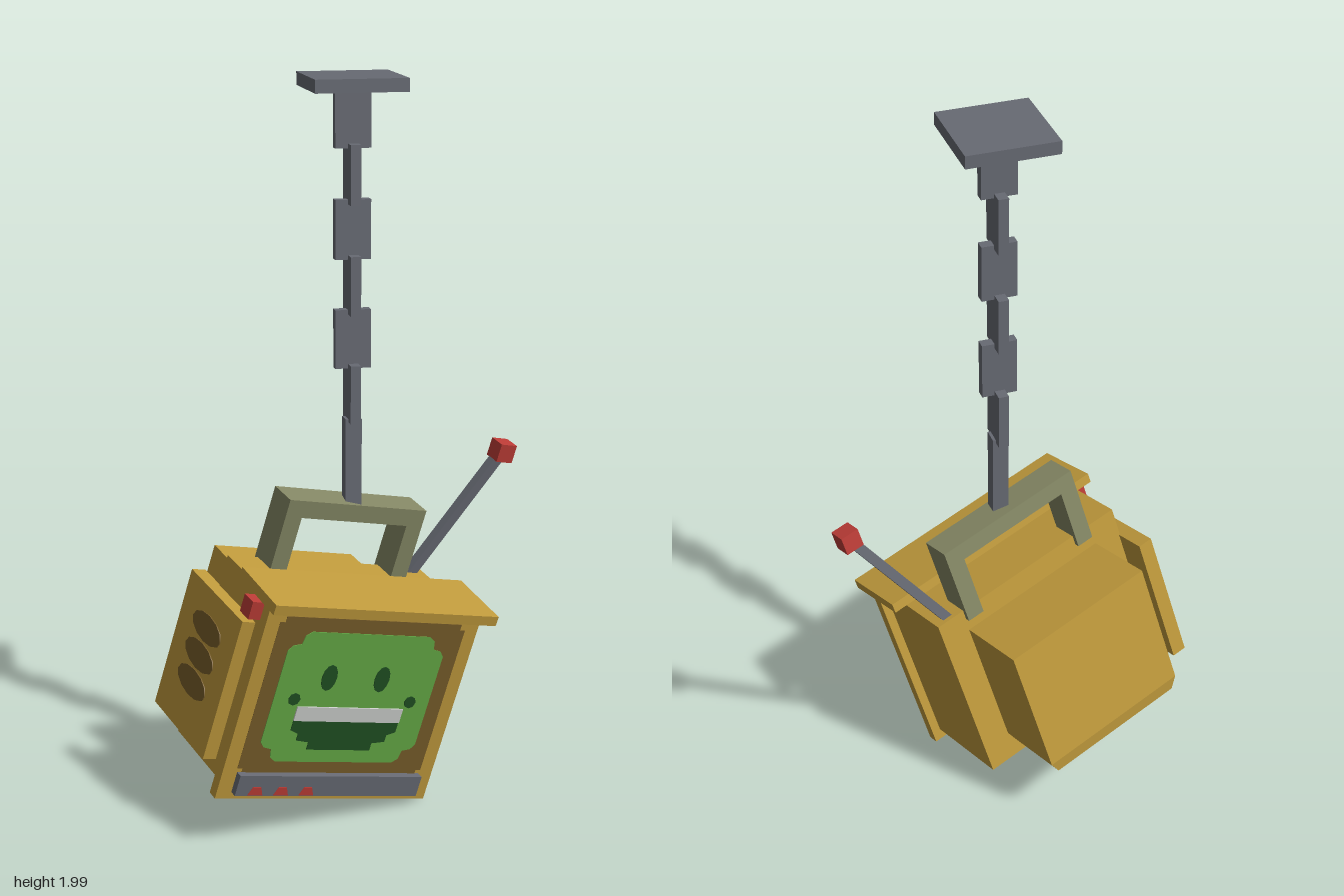
import * as THREE from 'three';

const mat = (name, color) => {
  const m = new THREE.MeshStandardMaterial({ color });
  m.name = name;
  return m;
};

export function createModel() {
  const gold = mat('gold', 0xc09a3c);
  const brown = mat('brown', 0x785d2a);
  const grey = mat('grey', 0x676a73);
  const olive = mat('olive', 0x858865);
  const red = mat('red', 0xbc3c36);
  const green = mat('screenGreen', 0x65aa45);
  const darkGreen = mat('darkGreen', 0x205022);
  const white = mat('paleGrey', 0xcdcfcc);

  const model = new THREE.Group();
  model.name = 'hangingTelevision';

  const add = (parent, name, geometry, material) => {
    const mesh = new THREE.Mesh(geometry, material);
    mesh.name = name;
    parent.add(mesh);
    return mesh;
  };
  // Box given by its lower and upper corners
  const box = (parent, name, material, a, b) => {
    const mesh = add(parent, name, new THREE.BoxGeometry(b[0] - a[0], b[1] - a[1], b[2] - a[2]), material);
    mesh.position.set((a[0] + b[0]) / 2, (a[1] + b[1]) / 2, (a[2] + b[2]) / 2);
    return mesh;
  };

  // Ceiling plate and chain of alternating flat links
  const chain = new THREE.Group();
  chain.name = 'chain';
  chain.position.set(0.022, 0, -0.002);
  model.add(chain);
  box(chain, 'ceilingPlate', grey, [-0.123, 1.965, -0.123], [0.123, 2, 0.123]);
  for (let i = 0; i < 6; i++) {
    const top = 1.97 - i * 0.146;
    const [hx, hz] = i % 2 ? [0.014, 0.048] : [0.048, 0.014];
    box(chain, 'chainLink', grey, [-hx, top - 0.158, -hz], [hx, top, hz]);
  }
  box(chain, 'chainHook', grey, [-0.022, 0.85, -0.022], [0.022, 1.09, 0.022]);

  // Tilted television, built upright in its own frame
  const tv = new THREE.Group();
  tv.name = 'television';
  const X = new THREE.Vector3(0.929, -0.212, -0.304).normalize();
  const Z = new THREE.Vector3(0.269, -0.178, 0.946);
  const Y = new THREE.Vector3().crossVectors(Z, X).normalize();
  Z.crossVectors(X, Y);
  tv.quaternion.setFromRotationMatrix(new THREE.Matrix4().makeBasis(X, Y, Z));
  tv.position.copy(X).multiplyScalar(-0.16);
  model.add(tv);

  // Casing, front frame and visor
  box(tv, 'casing', gold, [-0.307, 0.097, -0.19], [0.307, 0.629, 0.1]);
  box(tv, 'frontFrame', gold, [-0.332, 0.066, 0.09], [0.332, 0.642, 0.122]);
  const lid = box(tv, 'visor', gold, [-0.349, 0.632, -0.037], [0.349, 0.66, 0.171]);
  lid.rotation.x = 0.045;

  // Rear housing with its underside drawn inward
  box(tv, 'rearHousing', gold, [-0.225, 0.178, -0.405], [0.225, 0.563, -0.18]);
  const bevel = new THREE.BoxGeometry(0.45, 0.04, 0.225);
  const p = bevel.attributes.position;
  for (let i = 0; i < p.count; i++) {
    if (p.getY(i) > 0) continue;
    p.setX(i, p.getX(i) * 0.92);
    if (p.getZ(i) < 0) p.setZ(i, p.getZ(i) + 0.01);
  }
  bevel.computeVertexNormals();
  add(tv, 'rearHousingBase', bevel, gold).position.set(0, 0.158, -0.2925);

  // Thin flat details on the front; outlines are mirrored from one quarter or half
  const plate = (name, points, material, z) => {
    const shape = new THREE.Shape(points.map(([x, y]) => new THREE.Vector2(x, y)));
    add(tv, name, new THREE.ExtrudeGeometry(shape, { depth: 0.002, bevelEnabled: false }), material).position.z = z;
  };
  const flip = (pts, sx, sy) => pts.map(([x, y]) => [x * sx, y * sy]);
  const fourWay = (quarter, cy) => [
    ...quarter,
    ...flip(quarter, -1, 1).reverse(),
    ...flip(quarter, -1, -1),
    ...flip(quarter, 1, -1).reverse(),
  ].map(([x, y]) => [x, y + cy]);

  // Screen with scalloped corners on a brown surround
  plate('screenSurround', fourWay([[0.291, 0.215], [0.275, 0.215], [0.275, 0.232], [0.26, 0.232]], 0.372), brown, 0.121);
  plate('screen', fourWay([[0.245, 0.135], [0.232, 0.15], [0.208, 0.155], [0.203, 0.18], [0.185, 0.192]], 0.372), green, 0.123);

  // Face on the screen
  const halfMouth = [[0.166, 0.31], [0.166, 0.275], [0.14, 0.265], [0.14, 0.245], [0.1, 0.24], [0.1, 0.218]];
  plate('mouth', [...halfMouth, ...flip(halfMouth, -1, 1).reverse()], darkGreen, 0.125);
  box(tv, 'teeth', white, [-0.167, 0.304, 0.124], [0.167, 0.346, 0.129]);
  for (const s of [-1, 1]) {
    const eye = add(tv, 'eye', new THREE.CylinderGeometry(1, 1, 1, 12), darkGreen);
    eye.rotation.x = Math.PI / 2;
    eye.scale.set(0.023, 0.003, 0.038);
    eye.position.set(s * 0.083 - 0.012, 0.433, 0.126);
    const cheek = add(tv, 'mouthCorner', new THREE.CylinderGeometry(0.018, 0.018, 0.003, 8), darkGreen);
    cheek.rotation.x = Math.PI / 2;
    cheek.position.set(s * 0.183, 0.367, 0.126);
  }

  // Control strip with small buttons
  box(tv, 'controlStrip', grey, [-0.288, 0.086, 0.11], [0.288, 0.146, 0.143]);
  for (let i = 0; i < 3; i++) {
    const x = -0.228 + i * 0.079;
    plate('stripButton', [[x - 0.023, 0.088], [x + 0.023, 0.088], [x + 0.012, 0.113], [x - 0.012, 0.113]], red, 0.143);
  }

  // Side panel with oval vents and a red knob
  box(tv, 'sidePanel', gold, [-0.346, 0.135, -0.285], [-0.304, 0.54, 0.034]);
  for (const y of [0.28, 0.36, 0.44]) {
    const vent = add(tv, 'sideVent', new THREE.CylinderGeometry(1, 1, 1, 12), brown);
    vent.rotation.z = Math.PI / 2;
    vent.scale.set(0.037, 0.004, 0.085);
    vent.position.set(-0.347, y, -0.125);
  }
  box(tv, 'sideKnob', red, [-0.345, 0.558, 0.005], [-0.305, 0.608, 0.055]);

  // Carrying handle
  const handle = new THREE.Group();
  handle.name = 'handle';
  handle.position.x = 0.004;
  tv.add(handle);
  box(handle, 'handleBar', olive, [-0.218, 0.783, -0.205], [0.218, 0.832, -0.113]);
  for (const x of [-0.218, 0.168]) {
    box(handle, 'handleLeg', olive, [x, 0.6, -0.205], [x + 0.05, 0.785, -0.113]);
  }

  // Antenna with a cube tip
  const from = new THREE.Vector3(0.253, 0.6, -0.163);
  const to = new THREE.Vector3(0.441, 1.014, -0.157);
  const dir = to.clone().sub(from);
  const rod = add(tv, 'antennaRod', new THREE.BoxGeometry(0.027, dir.length(), 0.027), grey);
  rod.position.copy(from).add(to).multiplyScalar(0.5);
  rod.quaternion.setFromUnitVectors(new THREE.Vector3(0, 1, 0), dir.normalize());
  add(tv, 'antennaTip', new THREE.BoxGeometry(0.052, 0.052, 0.052), red).position.copy(to);

  return model;
}
